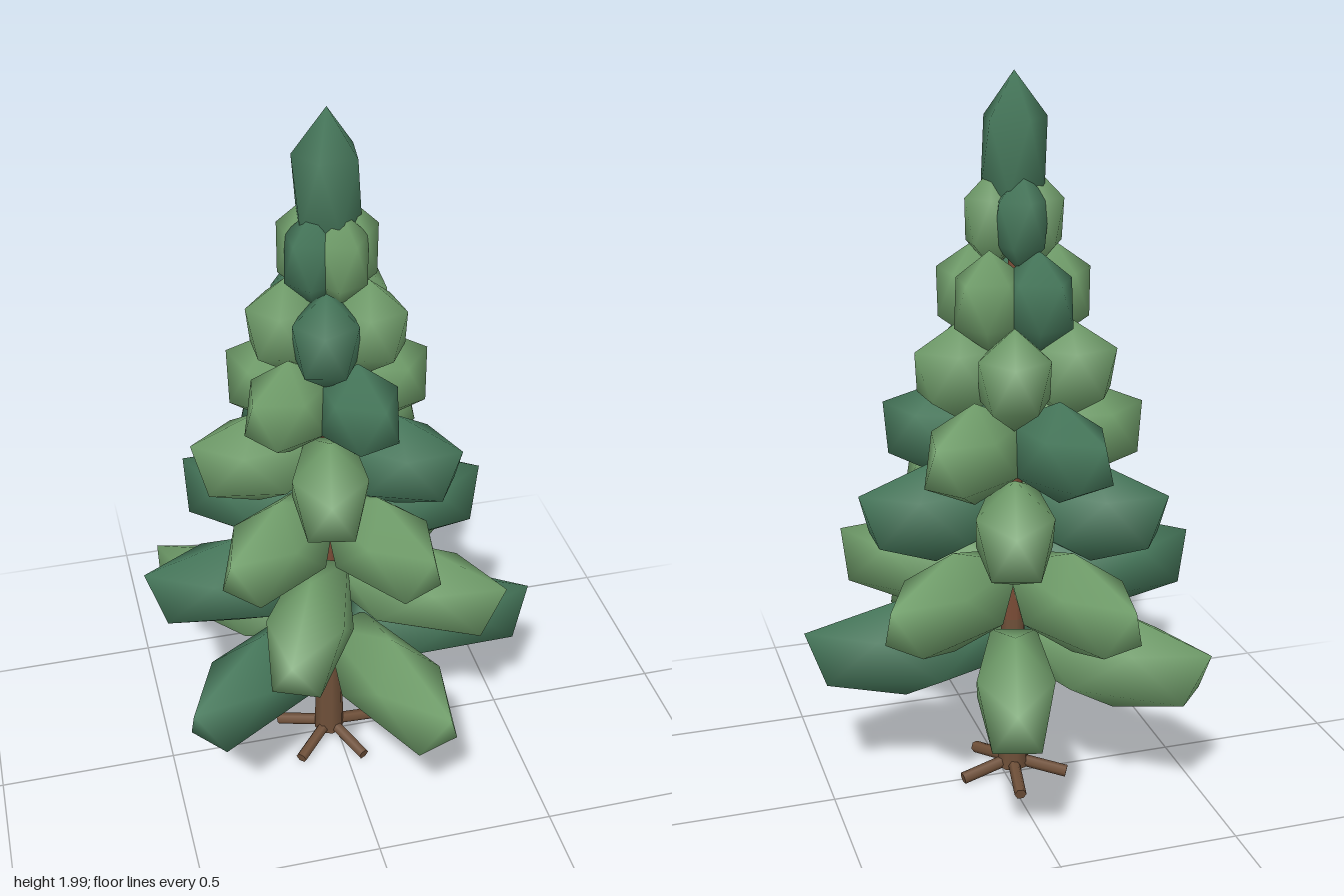
import * as THREE from 'three';
import { mergeVertices } from 'three/addons/utils/BufferGeometryUtils.js';

const CX = -0.025, CZ = 0.005; // trunk axis

const mat = (name, color) => {
  const m = new THREE.MeshStandardMaterial({ color });
  m.name = name;
  return m;
};

// Smooth twenty-sided lobe standing on a pole, with an upper corner aimed along +x
function lobeGeometry(length, height, width) {
  const g = new THREE.IcosahedronGeometry(1, 0);
  g.deleteAttribute('normal');
  g.deleteAttribute('uv');
  g.rotateX(-Math.atan((1 + Math.sqrt(5)) / 2));
  g.rotateY(Math.PI / 2);
  g.scale(length, height, width);
  const smooth = mergeVertices(g, 1e-4);
  smooth.computeVertexNormals();
  return smooth;
}

export function createModel() {
  const tree = new THREE.Group();
  tree.name = 'tree';
  const light = mat('lightGreen', 0x72a06c);
  const dark = mat('darkGreen', 0x47795c);
  const bark = mat('bark', 0x6f5039);
  const redBark = mat('redBark', 0x7a4c36);

  const add = (parent, name, geometry, material) => {
    const mesh = new THREE.Mesh(geometry, material);
    mesh.name = name;
    parent.add(mesh);
    return mesh;
  };

  const plant = new THREE.Group();
  plant.name = 'plant';
  plant.position.set(CX, 0, CZ);
  tree.add(plant);

  // Foliage tiers: height, tip radius, lobe half sizes, lobe angles from +x towards +z, dark lobes
  const tiers = [
    { y: 0.43, tip: 0.583, size: [0.31, 0.148, 0.12], angles: [6, 70, 141, 222, 286], dark: [0, 2] },
    { y: 0.634, tip: 0.517, size: [0.285, 0.143, 0.122], angles: [35, 114, 180, 250, 324], dark: [2] },
    { y: 0.838, tip: 0.43, size: [0.235, 0.146, 0.12], angles: [0, 64, 139, 213, 286], dark: [0, 3] },
    { y: 1.035, tip: 0.37, size: [0.2, 0.14, 0.115], angles: [32, 102, 180, 248, 319], dark: [0, 3] },
    { y: 1.232, tip: 0.277, size: [0.145, 0.138, 0.11], angles: [355, 72, 146, 209, 286], dark: [1] },
    { y: 1.425, tip: 0.212, size: [0.115, 0.135, 0.098], angles: [32, 105, 180, 252, 322], dark: [1, 3] },
    { y: 1.625, tip: 0.132, size: [0.082, 0.13, 0.08], angles: [0, 70, 142, 210, 268], dark: [2, 4] },
  ];
  tiers.forEach((t, i) => {
    const tier = new THREE.Group();
    tier.name = `foliageTier${i + 1}`;
    plant.add(tier);
    const geometry = lobeGeometry(...t.size);
    geometry.translate(t.tip - t.size[0] * 0.894, 0, 0);
    t.angles.forEach((a, k) => {
      const lobe = add(tier, 'foliageLobe', geometry, t.dark.includes(k) ? dark : light);
      lobe.position.y = t.y;
      lobe.rotation.y = -THREE.MathUtils.degToRad(a);
    });
  });

  // Tall crown lobe
  const crown = add(plant, 'crown', lobeGeometry(0.097, 0.21, 0.097), dark);
  crown.position.y = 1.79;
  crown.rotation.y = 0.5;

  // Trunk: thick base and thinner upper stem
  add(plant, 'trunk', new THREE.CylinderGeometry(0.034, 0.044, 0.47, 8), bark).position.y = 0.265;
  add(plant, 'upperTrunk', new THREE.CylinderGeometry(0.012, 0.034, 1.2, 8), redBark).position.y = 1.1;

  // Five roots spreading at the foot
  const root = new THREE.CylinderGeometry(0.017, 0.017, 0.16, 6);
  root.rotateZ(-Math.PI / 2);
  root.translate(0.08, 0, 0);
  root.rotateZ(-0.19);
  for (let i = 0; i < 5; i++) {
    const r = add(plant, 'root', root, bark);
    r.position.y = 0.05;
    r.rotation.y = -THREE.MathUtils.degToRad(-9 + 72 * i);
  }
  return tree;
}
